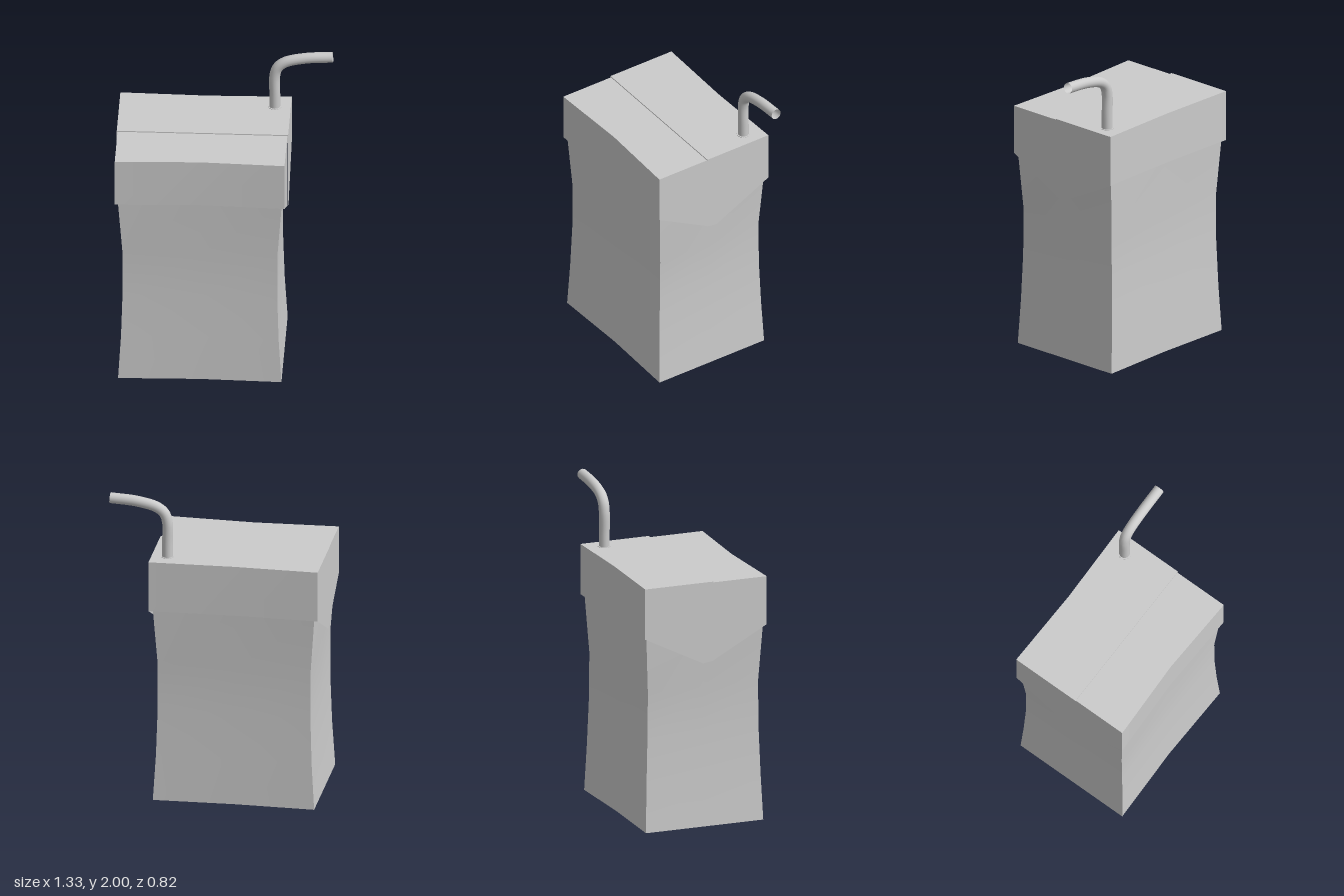
import * as THREE from 'three';
import { mergeVertices, toCreasedNormals } from 'three/addons/utils/BufferGeometryUtils.js';

const CX = -0.135; // the carton sits left of the straw's overhang
const material = new THREE.MeshStandardMaterial({ color: 0xcccccc, side: THREE.DoubleSide });

function addMesh(parent, name, geometry) {
  const mesh = new THREE.Mesh(geometry, material);
  mesh.name = name;
  parent.add(mesh);
  return mesh;
}

// Geometry from convex polygons, each a list of [x, y, z] corners, counter-clockwise from outside
function fromPolygons(polygons) {
  const positions = [];
  for (const p of polygons) {
    for (let i = 1; i < p.length - 1; i++) positions.push(...p[0], ...p[i], ...p[i + 1]);
  }
  const geometry = new THREE.BufferGeometry();
  geometry.setAttribute('position', new THREE.Float32BufferAttribute(positions, 3));
  return toCreasedNormals(mergeVertices(geometry), 0.5);
}

// Pinched carton: stacked eight-point loops, front and back dented along the middle
function bodyGeometry() {
  const sections = [ // y, half width, half depth, side swell
    [0, 0.51, 0.395, 0],
    [0.3, 0.492, 0.384, 0],
    [0.6, 0.483, 0.374, 0],
    [0.9, 0.483, 0.371, 0],
    [1.28, 0.511, 0.393, 0.012],
    [1.58, 0.52, 0.396, 0.008],
  ];
  const loops = sections.map(([y, w, d, s]) => [
    [w, d], [w + s, 0], [w, -d], [0, -d + 0.012], [-w, -d], [-w - s, 0], [-w, d], [0, d - 0.014],
  ].map(([x, z]) => [x, y, z]));
  const polygons = [];
  for (let i = 0; i < loops.length - 1; i++) {
    for (let j = 0; j < 8; j++) {
      const k = (j + 1) % 8;
      polygons.push([loops[i][j], loops[i][k], loops[i + 1][k], loops[i + 1][j]]);
    }
  }
  // Caps fan out from a centre point
  const top = loops[loops.length - 1];
  for (let j = 0; j < 8; j++) {
    const k = (j + 1) % 8;
    polygons.push([[0, 0, 0], loops[0][k], loops[0][j]]);
    polygons.push([[0, 1.58, 0], top[j], top[k]]);
  }
  return fromPolygons(polygons);
}

// Half of the lid: top, dented skirt and two pointed side flaps.
// sign is +1 for front, -1 for back; flap lists the lower edge from skirt to seam as [z, y]
function lidGeometry({ sign, w, top, dent, seam, flap }) {
  const edge = sign * 0.41;
  const mid = sign * (0.41 - dent);
  const low = flap[0][1];
  const polygons = [
    [[0, top, seam], [0, top, mid], [w, top, edge], [w, top, seam]],
    [[0, top, seam], [-w, top, seam], [-w, top, edge], [0, top, mid]],
    [[0, low, mid], [w, low, edge], [w, top, edge], [0, top, mid]],
    [[-w, low, edge], [0, low, mid], [0, top, mid], [-w, top, edge]],
  ];
  const outline = [[seam, top], [edge, top], ...flap];
  for (const side of [1, -1]) polygons.push(outline.map(([z, y]) => [side * w, y, z]));
  // Keep every face turned outward
  const ab = new THREE.Vector3(), ac = new THREE.Vector3(), out = new THREE.Vector3();
  for (const p of polygons) {
    const [a, b, c] = p.map((v) => new THREE.Vector3(...v));
    ab.subVectors(b, a);
    ac.subVectors(c, a);
    out.copy(a).add(b).add(c).divideScalar(3).sub(new THREE.Vector3(0, 1.3, 0));
    if (ab.cross(ac).dot(out) < 0) p.reverse();
  }
  return fromPolygons(polygons);
}

export function createModel() {
  const model = new THREE.Group();
  model.name = 'drinkCarton';

  const carton = new THREE.Group();
  carton.name = 'carton';
  carton.position.x = CX;
  model.add(carton);
  addMesh(carton, 'body', bodyGeometry());

  // The back half overlaps the slightly inset front half
  addMesh(carton, 'frontLid', lidGeometry({
    sign: 1, w: 0.53, top: 1.588, dent: 0.02, seam: 0.045,
    flap: [[0.41, 1.275], [0.05, 1.08], [0.045, 1.08]],
  }));
  addMesh(carton, 'backLid', lidGeometry({
    sign: -1, w: 0.535, top: 1.595, dent: 0.012, seam: 0.05,
    flap: [[-0.41, 1.268], [-0.02, 1.07], [0.05, 1.08]],
  }));

  // Small step where the back half ends
  const step = addMesh(carton, 'lidSeam', new THREE.PlaneGeometry(1.07, 0.008));
  step.position.set(0, 1.591, 0.05);

  // Bent drinking straw, open at the end
  const path = new THREE.CatmullRomCurve3([
    [0.3, 1.5], [0.3, 1.68], [0.3, 1.82], [0.318, 1.88], [0.365, 1.92], [0.49, 1.952], [0.662, 1.965],
  ].map(([x, y]) => new THREE.Vector3(x, y, -0.29)), false, 'centripetal');
  addMesh(model, 'straw', new THREE.TubeGeometry(path, 40, 0.034, 16, false));

  // Rim of the hole around the straw
  const rim = addMesh(model, 'strawHole', new THREE.CylinderGeometry(0.042, 0.042, 0.012, 20));
  rim.position.set(0.3, 1.592, -0.29);

  return model;
}
